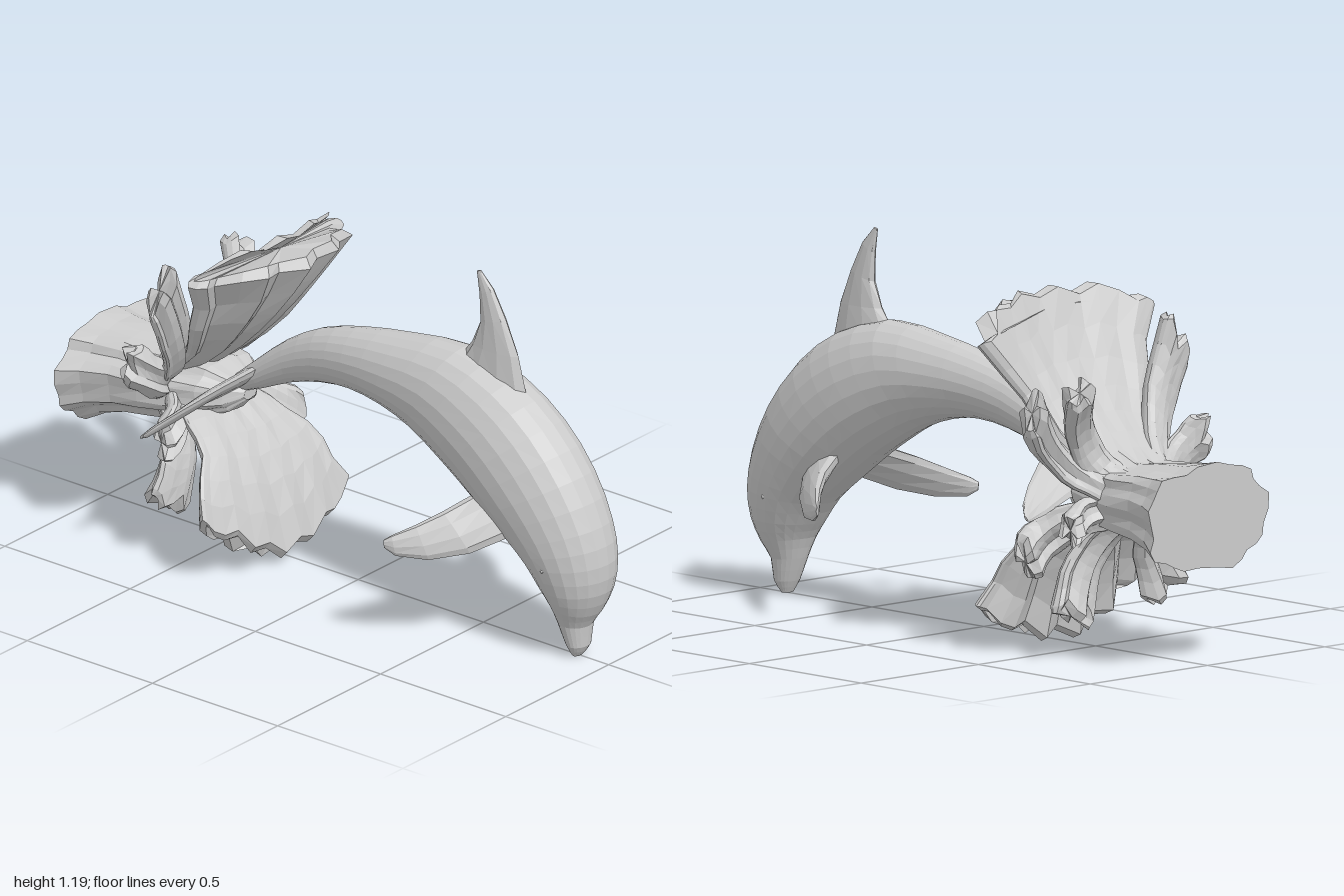
import * as THREE from 'three';

const V = (x, y, z) => new THREE.Vector3(x, y, z);
const material = new THREE.MeshStandardMaterial({ color: 0xcccccc, flatShading: true });

// Closed skin over a list of rings, capped at both ends, always facing outwards
function skin(name, rings) {
  const n = rings[0].length, pos = [], idx = [];
  rings.forEach(r => r.forEach(p => pos.push(p.x, p.y, p.z)));
  for (let i = 0; i < rings.length - 1; i++) {
    for (let j = 0; j < n; j++) {
      const a = i * n + j, b = i * n + (j + 1) % n;
      idx.push(a, b, a + n, b, b + n, a + n);
    }
  }
  [0, rings.length - 1].forEach(i => {
    const c = V(0, 0, 0), k = pos.length / 3;
    rings[i].forEach(p => c.addScaledVector(p, 1 / n));
    pos.push(c.x, c.y, c.z);
    for (let j = 0; j < n; j++) {
      const a = i * n + j, b = i * n + (j + 1) % n;
      if (i) idx.push(a, b, k); else idx.push(b, a, k);
    }
  });
  // signed volume decides the winding
  const p = k => V(pos[3 * k], pos[3 * k + 1], pos[3 * k + 2]);
  let volume = 0;
  for (let i = 0; i < idx.length; i += 3) volume += p(idx[i]).dot(p(idx[i + 1]).cross(p(idx[i + 2])));
  if (volume < 0) idx.reverse();
  const g = new THREE.BufferGeometry();
  g.setAttribute('position', new THREE.Float32BufferAttribute(pos, 3));
  g.setIndex(idx);
  g.computeVertexNormals();
  const mesh = new THREE.Mesh(g, material);
  mesh.name = name;
  return mesh;
}

// Elliptic ring between points a and b, with half width vector w
function ellipse(a, b, w, sides) {
  const c = a.clone().lerp(b, 0.5), h = a.clone().sub(c);
  return Array.from({ length: sides }, (_, j) => {
    const t = j / sides * Math.PI * 2;
    return c.clone().addScaledVector(h, Math.cos(t)).addScaledVector(w, Math.sin(t));
  });
}

// Body sections from beak to tail: back z, y, belly z, y, half width
function body() {
  const s = [
    [0.89, 0.012, 0.865, 0.012, 0.022], [0.915, 0.05, 0.845, 0.05, 0.045], [0.922, 0.12, 0.815, 0.125, 0.062],
    [0.955, 0.17, 0.79, 0.19, 0.09], [0.99, 0.25, 0.755, 0.24, 0.118], [1.0, 0.35, 0.7, 0.31, 0.14],
    [0.975, 0.47, 0.64, 0.355, 0.153], [0.9, 0.62, 0.55, 0.42, 0.165], [0.78, 0.76, 0.45, 0.49, 0.165],
    [0.62, 0.865, 0.36, 0.545, 0.155], [0.42, 0.92, 0.25, 0.605, 0.135], [0.2, 0.9, 0.13, 0.645, 0.113],
    [0, 0.865, 0, 0.66, 0.09], [-0.15, 0.82, -0.13, 0.645, 0.07], [-0.28, 0.745, -0.25, 0.61, 0.055],
    [-0.4, 0.645, -0.37, 0.555, 0.045], [-0.53, 0.53, -0.51, 0.5, 0.03]];
  const back = new THREE.CatmullRomCurve3(s.map(r => V(r[4], r[1], r[0])));
  const belly = new THREE.CatmullRomCurve3(s.map(r => V(0, r[3], r[2])));
  const rings = [];
  for (let i = 0; i <= 32; i++) {
    const a = back.getPoint(i / 32), b = belly.getPoint(i / 32), w = V(a.x, 0, 0);
    a.x = 0;
    rings.push(ellipse(a, b, w, 22));
  }
  return skin('body', rings);
}

// Lens-shaped fin: leading edge, trailing edge, half thicknesses; side = -1 mirrors
function fin(name, lead, trail, thick, side = 1) {
  const A = lead.map(p => V(p[0] * side, p[1], p[2])), B = trail.map(p => V(p[0] * side, p[1], p[2]));
  const last = A.length - 1;
  const span = A[last].clone().add(B[last]).sub(A[0]).sub(B[0]);
  const normal = B[0].clone().sub(A[0]).cross(span).normalize();
  return skin(name, A.map((a, i) => ellipse(a, B[i], normal.clone().multiplyScalar(thick[i]), 10)));
}

// Water column with lengthwise furrows: z, half width, bottom y, top y
function column() {
  const s = [[-1, 0.25, 0.31, 0.635], [-0.93, 0.215, 0.345, 0.625], [-0.84, 0.19, 0.37, 0.62], [-0.74, 0.18, 0.385, 0.61],
    [-0.64, 0.165, 0.4, 0.61], [-0.54, 0.14, 0.43, 0.6], [-0.47, 0.09, 0.46, 0.57], [-0.43, 0.03, 0.5, 0.54]];
  return skin('waterColumn', s.map(([z, w, y0, y1], i) => Array.from({ length: 30 }, (_, j) => {
    const t = j / 30 * Math.PI * 2, f = 1 + 0.05 * Math.sin(t * 9 + i * 0.4) - 0.04 * Math.cos(t * 5);
    const box = v => Math.sign(v) * Math.pow(Math.abs(v), 0.8);
    return V(box(Math.cos(t)) * w * f, (y0 + y1) / 2 + box(Math.sin(t)) * (y1 - y0) / 2 * f, z);
  })));
}

// Sheet of splashing water: flares along a bent path, furrowed, with a knobbly rim
function sheet(name, { path, side, w, flare = 1.4, thick, cup = [0, 0, 0], lobes = 2, lobe = 0.02, seed = 0 }) {
  const curve = new THREE.QuadraticBezierCurve3(...path.map(p => V(...p)));
  const across = V(...side).normalize(), bend = V(...cup), N = 10 + lobes * 4, T = 10, rings = [];
  for (let i = 0; i <= T; i++) {
    const t = Math.min(1, i / (T - 1)), end = i === T;
    const c = curve.getPoint(t), dir = curve.getTangent(t);
    const n = across.clone().cross(dir).normalize();
    const width = THREE.MathUtils.lerp(w[0], w[1], Math.pow(t, flare)) * (end ? 0.9 : 1);
    const depth = thick * (0.8 + 0.4 * Math.pow(t, 4)) * (end ? 0.55 : 1);
    const ring = [];
    for (let j = 0; j < N; j++) {
      const a = j / N * Math.PI * 2, s = Math.cos(a), h = Math.sin(a);
      const wave = Math.cos(s * Math.PI * lobes + seed);
      const furrow = 1 + 0.2 * wave + 0.08 * Math.sin(s * 13 + i * 0.7 + seed);
      const rim = lobe * Math.pow(t, 4) * (wave + 0.5 * Math.sin(s * 5 + seed * 2)) + (end ? 0.02 : 0);
      ring.push(c.clone()
        .addScaledVector(across, width * s * (1 + 0.05 * Math.sin(i * 1.9 + seed + s)))
        .addScaledVector(n, depth * h * furrow + 0.25 * thick * wave * t)
        .addScaledVector(dir, rim)
        .addScaledVector(bend, s * s * t * t));
    }
    rings.push(ring);
  }
  rings.flat().forEach(p => { p.y = Math.max(0, p.y); });
  return skin(name, rings);
}

export function createModel() {
  const model = new THREE.Group();
  model.name = 'leapingDolphin';
  const dolphin = new THREE.Group(), splash = new THREE.Group();
  dolphin.name = 'dolphin';
  splash.name = 'splash';
  model.add(dolphin, splash);

  dolphin.add(body());
  dolphin.add(fin('dorsalFin',
    [[0, 0.8, 0.68], [0, 0.95, 0.64], [0, 1.06, 0.59], [0, 1.15, 0.54], [0, 1.2, 0.49]],
    [[0, 0.88, 0.4], [0, 0.95, 0.455], [0, 1.03, 0.49], [0, 1.12, 0.487], [0, 1.195, 0.475]],
    [0.042, 0.03, 0.023, 0.015, 0.005]));
  for (const side of [1, -1]) {
    const label = side > 0 ? 'left' : 'right';
    dolphin.add(fin(label + 'Flipper',
      [[0.11, 0.39, 0.69], [0.2, 0.345, 0.61], [0.28, 0.322, 0.51], [0.33, 0.328, 0.42], [0.343, 0.35, 0.385]],
      [[0.11, 0.49, 0.54], [0.2, 0.455, 0.5], [0.27, 0.42, 0.45], [0.325, 0.39, 0.4], [0.343, 0.375, 0.382]],
      [0.03, 0.026, 0.02, 0.014, 0.006], side));
    dolphin.add(fin(label + 'Fluke',
      [[0, 0.64, -0.36], [0.15, 0.6, -0.41], [0.27, 0.54, -0.48], [0.34, 0.495, -0.53], [0.362, 0.465, -0.56]],
      [[0, 0.51, -0.52], [0.15, 0.495, -0.54], [0.27, 0.46, -0.56], [0.34, 0.448, -0.57], [0.36, 0.45, -0.575]],
      [0.022, 0.017, 0.012, 0.009, 0.004], side));
    const eye = new THREE.Mesh(new THREE.SphereGeometry(0.008, 8, 6), material);
    eye.name = label + 'Eye';
    eye.position.set(0.134 * side, 0.33, 0.845);
    dolphin.add(eye);
  }

  // Two broad sheets, above and below the tail
  splash.add(column());
  splash.add(sheet('upperSheet', { path: [[0, 0.54, -0.85], [0, 0.56, -0.5], [0, 1.07, -0.23]], side: [1, -0.04, 0],
    w: [0.12, 0.37], flare: 2, thick: 0.055, cup: [0, -0.08, -0.17], lobes: 5, lobe: 0.025, seed: 2.6 }));
  splash.add(sheet('lowerSheet', { path: [[0, 0.47, -0.82], [0, 0.52, -0.4], [-0.02, 0.06, -0.3]], side: [1, -0.12, 0],
    w: [0.12, 0.36], flare: 1.4, thick: 0.05, cup: [0, 0.13, -0.03], lobes: 5, lobe: 0.02, seed: 1 }));

  // Smaller tongues: tip, direction across, half width, z of the bend
  const tongues = [
    [[0.35, 0.77, -0.59], [-0.4, 1, 0.3], 0.085, -0.54], [[-0.31, 0.93, -0.53], [0.6, 0.8, 0], 0.085, -0.5],
    [[-0.31, 0.66, -0.65], [0.2, 1, 0.1], 0.075, -0.56], [[0.26, 0.84, -0.7], [1, -0.6, 0], 0.06, -0.55],
    [[0.2, 0.16, -0.6], [1, 0.4, 0], 0.09, -0.56], [[-0.22, 0.2, -0.58], [1, -0.5, 0], 0.1, -0.54],
    [[0.29, 0.32, -0.5], [0.6, 1, 0], 0.08, -0.5], [[-0.25, 0.42, -0.56], [-0.3, 1, 0], 0.07, -0.54],
    [[0.25, 0.43, -0.66], [0.2, 1, 0], 0.06, -0.62]];
  tongues.forEach(([tip, side, width, bendZ], i) => {
    const [x, y] = tip, rise = Math.sign(y - 0.5);
    splash.add(sheet('splashTongue' + (i + 1), {
      path: [[x * 0.25, 0.5 + rise * 0.03, -0.76], [x * 0.6, 0.5 + (y - 0.5) * 0.3, bendZ], tip],
      side, w: [0.06, width], thick: 0.036, seed: i * 1.7 }));
  });
  return model;
}
